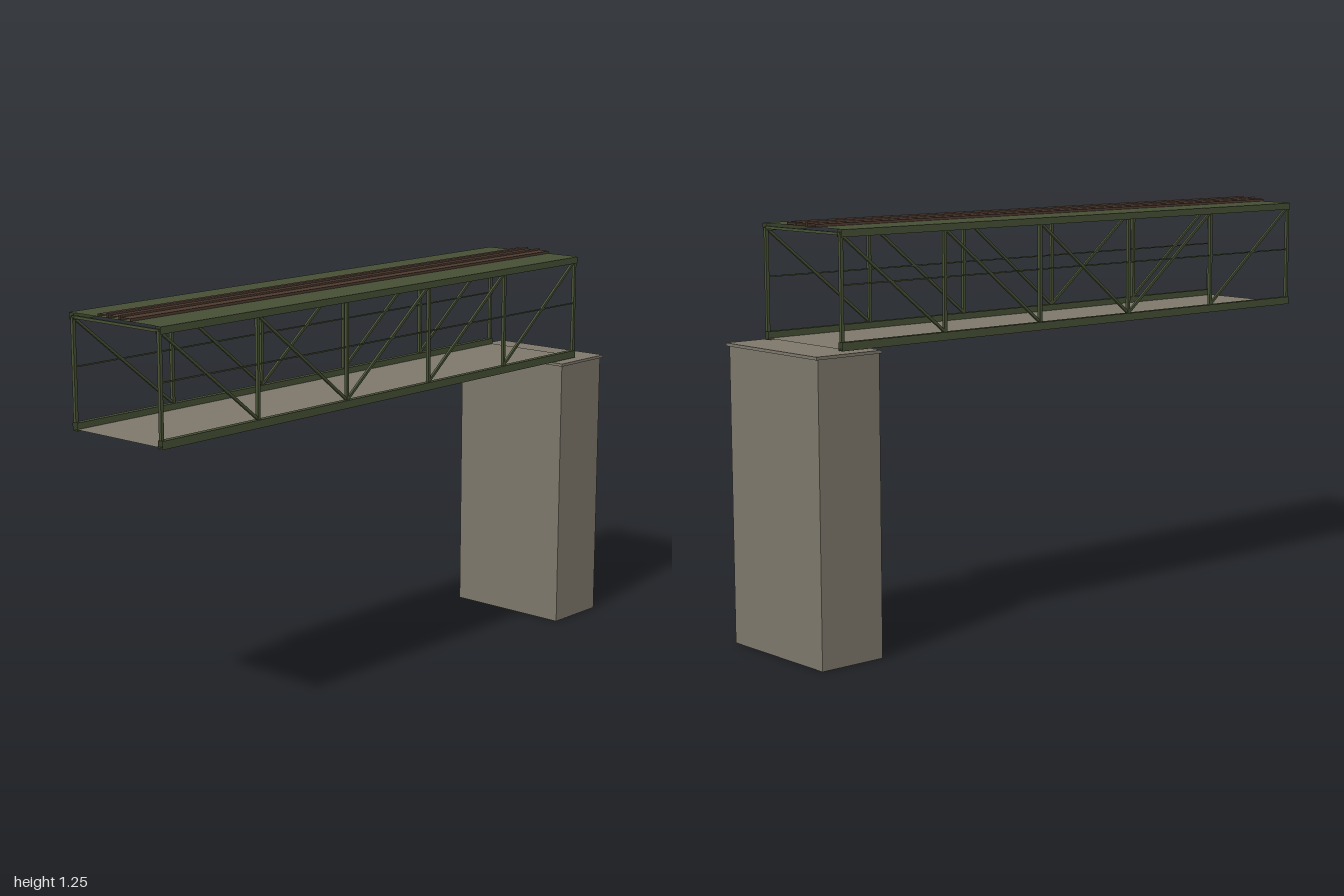
import * as THREE from 'three';

const mat = (name, color) => {
  const m = new THREE.MeshStandardMaterial({ color, side: THREE.DoubleSide });
  m.name = name;
  return m;
};

export function createModel() {
  const green = mat('green painted steel', 0x465034);
  const stone = mat('grey stone', 0x7d776b);
  const brown = mat('rusty brown', 0x4e3a2f);
  const pale = mat('worn rail steel', 0x8c7668);

  const model = new THREE.Group();
  model.name = 'trussBridgeEnd';
  const FRONT = 1, BACK = -0.885;
  const LENGTH = FRONT - BACK, MID = (FRONT + BACK) / 2;
  const SIDE = 0.177, LOW = 0.92, HIGH = 1.222;

  const add = (name, geometry, material, x, y, z) => {
    const mesh = new THREE.Mesh(geometry, material);
    mesh.name = name;
    mesh.position.set(x, y, z);
    model.add(mesh);
    return mesh;
  };

  // Box with some faces left out (0 +x, 1 -x, 2 +y, 3 -y, 4 +z, 5 -z)
  const openBox = (w, h, d, missing) => {
    const g = new THREE.BoxGeometry(w, h, d);
    const index = Array.from(g.index.array);
    g.setIndex(index.filter((_, i) => !missing.includes(Math.floor(i / 6))));
    g.clearGroups();
    return g;
  };

  // Full length profile with open ends
  const beam = (name, material, x, w, y0, y1) =>
    add(name, openBox(w, y1 - y0, LENGTH, [4, 5]), material, x, (y0 + y1) / 2, MID);

  // Full length flat sheet
  const sheet = (name, material, w, y) =>
    add(name, new THREE.PlaneGeometry(w, LENGTH).rotateX(-Math.PI / 2), material, 0, y, MID);

  // Straight bar in the plane of a side truss
  const bar = (name, x, y0, z0, y1, z1, t) => {
    const dy = y1 - y0, dz = z1 - z0;
    const mesh = add(name, new THREE.BoxGeometry(t, t, Math.hypot(dy, dz)), green,
      x, (y0 + y1) / 2, (z0 + z1) / 2);
    mesh.rotation.x = -Math.atan2(dy, dz);
  };

  // Pier, hollow underneath, with a slightly wider cap
  add('pier', openBox(0.425, 0.885, 0.215, [3]), stone, 0, 0.4425, -0.8835);
  add('pierCap', new THREE.BoxGeometry(0.436, 0.009, 0.23), stone, 0, 0.8885, -0.885);

  // Walkway floor and upper deck
  sheet('floor', stone, 0.35, 0.901);
  sheet('upperDeck', green, 0.37, 1.236);

  // Side trusses: three bays slope one way, three the other
  const bays = 5;
  const station = i => FRONT - 0.005 - i * (LENGTH - 0.01) / bays;
  for (const s of [-1, 1]) {
    const x = s * SIDE;
    beam('lowerChord', green, x, 0.018, 0.896, LOW);
    beam('upperChord', green, x, 0.018, 1.214, 1.235);
    beam('sideRod', green, x, 0.004, 1.078, 1.082);
    for (let i = 0; i <= bays; i++) bar('post', x, LOW, station(i), HIGH, station(i), 0.01);
    for (let i = 0; i < bays; i++) {
      const down = i < 2;
      bar('diagonal', x, down ? HIGH : LOW, station(i), down ? LOW : HIGH, station(i + 1), 0.008);
    }
  }

  // Cross struts joining the end posts
  for (const z of [station(0), station(bays)])
    add('crossStrut', new THREE.BoxGeometry(SIDE * 2, 0.008, 0.008), green, 0, 1.223, z);

  // Track on the deck: planks with two thin rails between them
  beam('centrePlank', brown, 0, 0.04, 1.236, 1.244);
  for (const s of [-1, 1]) {
    beam('outerPlank', brown, s * 0.047, 0.038, 1.236, 1.244);
    beam('rail', brown, s * 0.025, 0.008, 1.236, 1.249);
    beam('railTop', pale, s * 0.025, 0.004, 1.249, 1.25);
  }

  return model;
}
